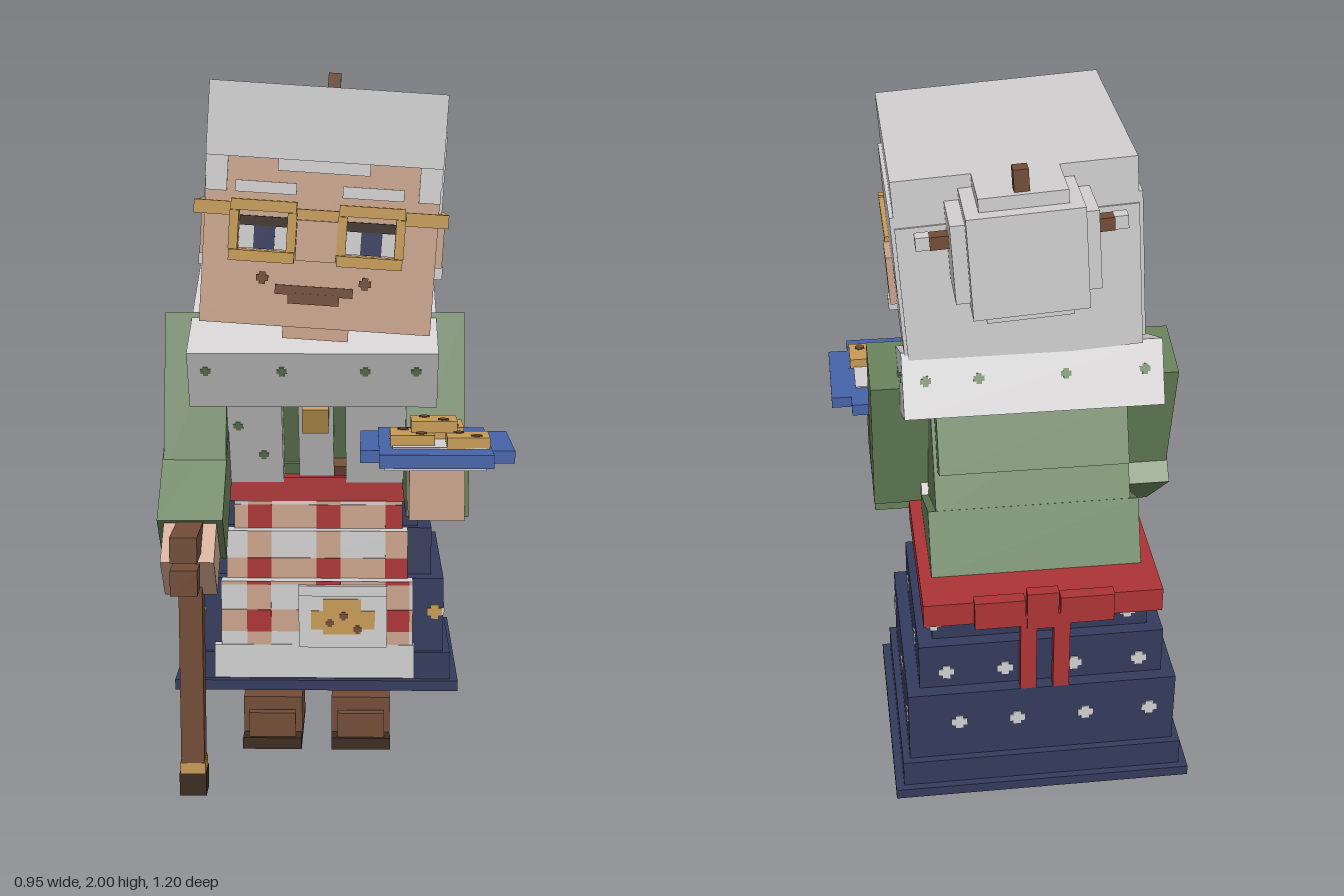
import * as THREE from 'three';

const colours = {
  white: 0xd0cecf, skin: 0xc9a38b, green: 0x657f58, navy: 0x343b5c, red: 0xab3335,
  brown: 0x714c36, darkBrown: 0x3a2c20, gold: 0xc59a55, blue: 0x4663a8,
};
const M = {};

function group(parent, name, x = 0, y = 0, z = 0, rx = 0, rz = 0) {
  const g = new THREE.Group();
  g.name = name;
  g.position.set(x, y, z);
  g.rotation.set(rx, 0, rz);
  parent.add(g);
  return g;
}

// Box given by its limits on each axis
function box(parent, name, mat, x0, x1, y0, y1, z0, z1) {
  const m = new THREE.Mesh(new THREE.BoxGeometry(x1 - x0, y1 - y0, z1 - z0), M[mat]);
  m.name = name;
  m.position.set((x0 + x1) / 2, (y0 + y1) / 2, (z0 + z1) / 2);
  parent.add(m);
  return m;
}

// Small plus-shaped speck lying on a face; axis is the face's normal
function speck(parent, name, mat, x, y, z, axis, s = 0.021) {
  for (const k of [0, 1]) {
    const a = k ? s : s / 2, b = k ? s / 2 : s, t = 0.003;
    const h = axis === 'x' ? [t, a, b] : axis === 'y' ? [a, t, b] : [a, b, t];
    box(parent, name, mat, x - h[0], x + h[0], y - h[1], y + h[1], z - h[2], z + h[2]);
  }
}

function buildLegs(root) {
  for (const x of [-0.185, 0.08]) {
    const g = group(root, 'leg', x);
    box(g, 'shoeSole', 'darkBrown', -0.088, 0.088, 0, 0.035, -0.37, -0.05);
    box(g, 'shoe', 'brown', -0.088, 0.088, 0.035, 0.145, -0.36, -0.105);
    box(g, 'shoeToe', 'brown', -0.07, 0.07, 0.035, 0.11, -0.09, -0.06);
    box(g, 'shin', 'skin', -0.073, 0.073, 0.145, 0.24, -0.345, -0.2);
  }
}

function buildSkirt(root) {
  const g = group(root, 'skirt', -0.05);
  // half width, bottom, top, back, front
  const tiers = [[0.413, 0.22, 0.25, -0.6, 0.05], [0.39, 0.25, 0.33, -0.58, 0.03],
    [0.37, 0.33, 0.55, -0.56, 0.015], [0.335, 0.55, 0.69, -0.525, -0.03], [0.295, 0.69, 0.78, -0.49, -0.06]];
  for (const [w, y0, y1, z0, z1] of tiers) box(g, 'skirtTier', 'navy', -w, w, y0, y1, z0, z1);
  const dots = [[0.37, 0.45, -0.56, [-0.005, -0.29, -0.51]], [0.335, 0.6, -0.525, [-0.11, -0.36]],
    [0.295, 0.74, -0.49, [-0.145, -0.36]]];
  dots.forEach(([w, y, back, zs], i) => {
    for (const s of [-1, 1]) {
      zs.forEach((z, j) => speck(g, 'skirtSpeck', i === 2 && j === 1 ? 'gold' : 'white', s * w, y, z, 'x'));
    }
    for (const x of [-0.27, -0.09, 0.1, 0.26]) speck(g, 'skirtSpeck', 'white', x + 0.03 * (i - 1), y, back, 'z');
  });
  for (const s of [-1, 1]) speck(g, 'skirtSpeck', 'gold', s * 0.345, 0.45, 0.015, 'z');

  // Belt and bow
  box(g, 'belt', 'red', -0.325, 0.32, 0.77, 0.84, -0.54, -0.025);
  box(g, 'bowLoop', 'red', -0.19, -0.045, 0.765, 0.85, -0.56, -0.525);
  box(g, 'bowLoop', 'red', 0.05, 0.185, 0.765, 0.85, -0.56, -0.525);
  box(g, 'bowKnot', 'red', -0.04, 0.045, 0.755, 0.87, -0.562, -0.53);
  for (const x of [-0.05, 0.04]) box(g, 'bowTail', 'red', x - 0.022, x + 0.022, 0.55, 0.8, -0.56, -0.53);
}

function buildApron(root) {
  const g = group(root, 'apron');
  // left, right, bottom, top, back, front
  const panels = [[-0.29, 0.2, 0.69, 0.77, -0.06, -0.022], [-0.31, 0.215, 0.55, 0.69, -0.03, 0.015],
    [-0.325, 0.23, 0.33, 0.55, 0.015, 0.052], [-0.345, 0.235, 0.26, 0.36, 0.03, 0.056]];
  const columns = [[-0.25, -0.18], [-0.05, 0.02], [0.15, 0.22]];
  const rows = [[0.69, 0.76], [0.54, 0.61], [0.4, 0.465]];
  panels.forEach(([x0, x1, y0, y1, z0, z1], i) => {
    box(g, 'apronPanel', 'white', x0, x1, y0, y1, z0, z1);
    if (i === 3) return;
    const check = (name, mat, a, b, t) => {
      const l = Math.max(a[0], x0), r = Math.min(a[1], x1), d = Math.max(b[0], y0), u = Math.min(b[1], y1);
      if (r - l > 0.005 && u - d > 0.005) box(g, name, mat, l, r, d, u, z1 - 0.002, z1 + t);
    };
    for (const c of columns) check('checkColumn', 'skin', c, [y0, y1], 0.002);
    for (const r of rows) check('checkRow', 'skin', [x0, x1], r, 0.003);
    for (const c of columns) for (const r of rows) check('checkSquare', 'red', c, r, 0.005);
  });
  // Pocket with a biscuit patch
  box(g, 'pocket', 'white', -0.1, 0.155, 0.355, 0.54, 0.05, 0.064);
  box(g, 'pocketHem', 'white', -0.1, 0.155, 0.51, 0.54, 0.06, 0.07);
  box(g, 'biscuitPatch', 'gold', -0.065, 0.12, 0.41, 0.465, 0.062, 0.067);
  box(g, 'biscuitPatch', 'gold', -0.03, 0.08, 0.395, 0.5, 0.062, 0.0675);
  for (const [x, y] of [[0.03, 0.45], [0.07, 0.41], [-0.01, 0.43]]) speck(g, 'patchChip', 'brown', x, y, 0.067, 'z', 0.012);
}

// Torso and shawl lean forward together
function buildTorso(root) {
  const g = group(root, 'torso', -0.05, 1.26, -0.06, 0.436);
  box(g, 'upperBody', 'green', -0.265, 0.265, -0.36, -0.05, -0.146, 0.155);
  box(g, 'lowerBody', 'green', -0.287, 0.287, -0.53, -0.35, -0.148, 0.163);
  box(g, 'backFold', 'green', -0.255, 0.255, -0.245, -0.075, -0.215, -0.14);
  box(g, 'shawl', 'white', -0.35, 0.34, -0.088, 0.088, -0.252, 0.252);
  for (const [a, b] of [[-0.265, -0.095], [0.085, 0.285]]) box(g, 'shawlTail', 'white', a, b, -0.41, -0.08, 0.15, 0.215);
  box(g, 'shawlMiddle', 'white', -0.05, 0.05, -0.41, -0.08, 0.14, 0.19);
  box(g, 'brooch', 'gold', -0.037, 0.037, -0.18, -0.1, 0.18, 0.25);
  for (const y of [-0.35, -0.44]) box(g, 'button', 'brown', 0.05, 0.085, y - 0.018, y + 0.018, 0.16, 0.2);
  for (const x of [-0.3, -0.09, 0.14, 0.28]) {
    speck(g, 'shawlSpeck', 'green', x, 0.03, 0.252, 'z', 0.014);
    speck(g, 'shawlSpeck', 'green', x, 0.01, -0.252, 'z', 0.014);
  }
  for (const [x, y] of [[-0.22, -0.18], [-0.15, -0.28], [0.17, -0.28]]) speck(g, 'shawlSpeck', 'green', x, y, 0.215, 'z', 0.014);
  for (const x of [-0.35, 0.34]) for (const z of [-0.2, -0.05, 0.19]) speck(g, 'shawlSpeck', 'green', x, 0.02, z, 'x', 0.014);
}

function buildArms(root) {
  for (const [name, a, b] of [['leftArm', 0.205, 0.37], ['rightArm', -0.475, -0.3]]) {
    const g = group(root, name, 0, 1.305, -0.06, -0.25);
    box(g, 'upperArm', 'green', a, b, -0.46, 0, -0.094, 0.094);
  }
  box(root, 'leftForearm', 'green', 0.2, 0.368, 0.81, 0.985, -0.03, 0.34);
  box(root, 'leftHand', 'skin', 0.205, 0.35, 0.83, 0.99, 0.34, 0.47);
  const f = group(root, 'rightForearm', 0, 0.92, 0, -0.86);
  box(f, 'sleeve', 'green', -0.478, -0.298, -0.31, 0.06, -0.09, 0.09);
  box(f, 'rightHand', 'skin', -0.46, -0.315, -0.44, -0.31, -0.077, 0.077);
}

function buildCane(root) {
  const g = group(root, 'cane');
  box(g, 'caneTip', 'darkBrown', -0.425, -0.35, 0, 0.065, 0.235, 0.31);
  box(g, 'caneBand', 'gold', -0.423, -0.352, 0.065, 0.095, 0.237, 0.31);
  box(g, 'caneShaft', 'brown', -0.42, -0.355, 0.095, 0.72, 0.24, 0.307);
  box(g, 'caneHandle', 'brown', -0.425, -0.352, 0.71, 0.78, 0.24, 0.465);
  box(g, 'caneHook', 'brown', -0.425, -0.352, 0.62, 0.69, 0.39, 0.465);
}

function buildPlate(root) {
  const g = group(root, 'plate');
  box(g, 'plateFoot', 'white', 0.14, 0.4, 0.975, 0.996, 0.27, 0.53);
  box(g, 'plateBody', 'blue', 0.125, 0.415, 0.995, 1.03, 0.2, 0.6);
  box(g, 'plateBody', 'blue', 0.077, 0.473, 0.996, 1.029, 0.25, 0.535);
  box(g, 'plateCentre', 'white', 0.16, 0.4, 1.028, 1.034, 0.3, 0.52);
  const biscuits = [[0.155, 0.27, 1.03, 1.06, 0.37, 0.49], [0.3, 0.41, 1.03, 1.06, 0.42, 0.52],
    [0.26, 0.35, 1.03, 1.065, 0.27, 0.4], [0.21, 0.33, 1.06, 1.09, 0.35, 0.45]];
  for (const [a, b, c, d, e, f] of biscuits) {
    box(g, 'biscuit', 'gold', a, b, c, d, e, f);
    for (const [u, v] of [[0.3, 0.25], [0.7, 0.75]]) {
      speck(g, 'biscuitChip', 'brown', a + (b - a) * u, d, e + (f - e) * v, 'y', 0.014);
    }
  }
}

function buildHead(root) {
  const g = group(root, 'head', -0.045, 1.32, 0, 0, -0.065);
  box(g, 'face', 'skin', -0.305, 0.305, 0, 0.6, -0.245, 0.35);
  box(g, 'neck', 'skin', -0.09, 0.09, -0.05, 0.02, -0.1, 0.2);
  box(g, 'hairCap', 'white', -0.308, 0.308, 0.435, 0.625, -0.255, 0.366);
  box(g, 'backHair', 'white', -0.308, 0.308, 0.1, 0.5, -0.26, -0.15);
  for (const s of [-1, 1]) {
    const side = (name, mat, a, b, ...r) => box(g, name, mat, Math.min(s * a, s * b), Math.max(s * a, s * b), ...r);
    side('sideHair', 'white', 0.29, 0.318, 0.3, 0.53, -0.255, 0.235);
    side('sideHair', 'white', 0.29, 0.317, 0.12, 0.3, -0.255, 0);
    side('templeHair', 'white', 0.3, 0.308, 0.38, 0.44, 0.2, 0.354);
    side('ear', 'skin', 0.29, 0.335, 0.16, 0.3, 0, 0.11);
    side('earring', 'white', 0.305, 0.34, 0.125, 0.16, 0.035, 0.072);
    side('fringe', 'white', 0.25, 0.306, 0.345, 0.44, 0.34, 0.354);
    side('spectacleArm', 'gold', 0.305, 0.33, 0.285, 0.315, 0.1, 0.38);
    side('spectacleHinge', 'gold', 0.22, 0.33, 0.285, 0.32, 0.365, 0.39);

    // Eye, brow and spectacle frame
    const e = group(g, 'eye', s * 0.14 - 0.008, 0.25);
    box(e, 'eyeWhite', 'white', -0.07, 0.07, -0.05, 0.03, 0.345, 0.354);
    box(e, 'pupil', 'navy', -0.025, 0.03, -0.05, 0.03, 0.35, 0.357);
    box(e, 'eyelid', 'darkBrown', -0.075, 0.075, 0.01, 0.035, 0.35, 0.359);
    box(e, 'eyebrow', 'white', -0.08, 0.08, 0.095, 0.125, 0.345, 0.355);
    for (const y of [-0.065, 0.065]) box(e, 'spectacleRim', 'gold', -0.085, 0.085, y - 0.014, y + 0.014, 0.365, 0.415);
    for (const x of [-0.075, 0.075]) box(e, 'spectacleRim', 'gold', x - 0.012, x + 0.012, -0.05, 0.05, 0.365, 0.413);
    speck(g, 'mouthCorner', 'brown', s * 0.135 - 0.01, 0.125, 0.351, 'z', 0.016);
  }
  box(g, 'fringe', 'white', -0.12, 0.12, 0.405, 0.44, 0.345, 0.354);
  box(g, 'spectacleBridge', 'gold', -0.07, 0.06, 0.285, 0.312, 0.365, 0.4);
  box(g, 'nose', 'skin', -0.06, 0.045, 0.18, 0.285, 0.34, 0.412);
  box(g, 'mouth', 'brown', -0.11, 0.095, 0.085, 0.11, 0.346, 0.354);
  box(g, 'mouth', 'brown', -0.075, 0.06, 0.062, 0.09, 0.346, 0.355);

  // Bun with crossed pins
  const b = group(g, 'bun', -0.002);
  box(b, 'bunCore', 'white', -0.145, 0.145, 0.32, 0.59, -0.445, -0.23);
  box(b, 'bunSides', 'white', -0.182, 0.182, 0.35, 0.56, -0.405, -0.23);
  box(b, 'bunTop', 'white', -0.11, 0.11, 0.29, 0.625, -0.41, -0.24);
  box(b, 'uprightPin', 'brown', -0.018, 0.02, 0.6, 0.682, -0.395, -0.358);
  box(b, 'crossPin', 'brown', -0.23, 0.23, 0.47, 0.505, -0.338, -0.303);
  for (const s of [-1, 1]) box(b, 'pinBead', 'white', s * 0.247 - 0.018, s * 0.247 + 0.018, 0.47, 0.505, -0.334, -0.3);
}

export function createModel() {
  for (const [name, color] of Object.entries(colours)) {
    M[name] = new THREE.MeshStandardMaterial({ color });
    M[name].name = name;
  }
  const root = new THREE.Group();
  root.name = 'elderlyLady';
  for (const build of [buildLegs, buildSkirt, buildApron, buildTorso, buildArms, buildCane, buildPlate, buildHead]) build(root);
  return root;
}
